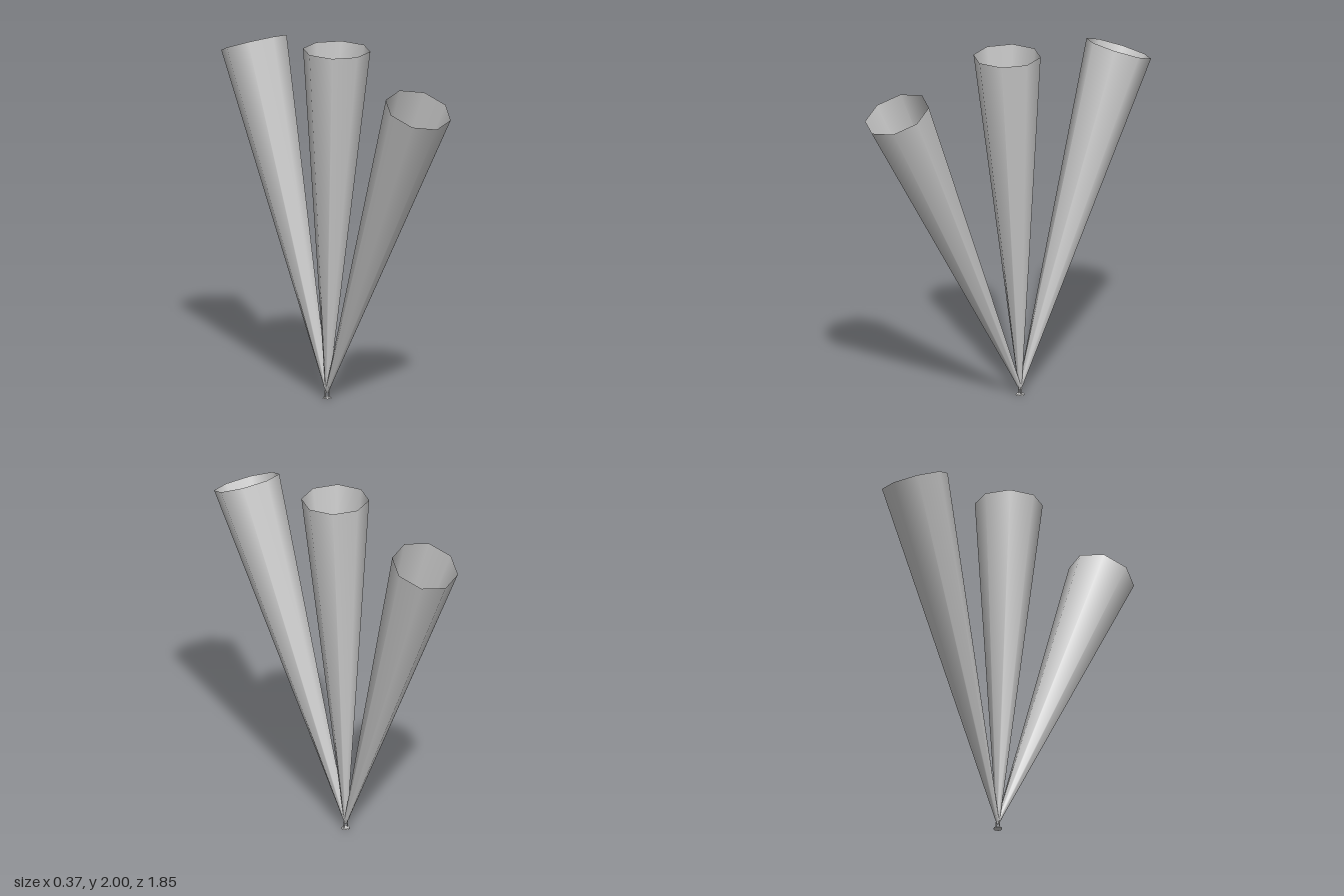
import * as THREE from 'three';

const grey = new THREE.MeshStandardMaterial({ color: 0xcccccc, side: THREE.DoubleSide });

function add(parent, name, geometry, x = 0, y = 0, z = 0) {
  const mesh = new THREE.Mesh(geometry, grey);
  mesh.name = name;
  mesh.position.set(x, y, z);
  parent.add(mesh);
  return mesh;
}

// Open eight-sided light cone whose wide end leans slightly forward
function beamGeometry(start, end) {
  const g = new THREE.CylinderGeometry(0.187, 0.011, end - start, 8, 1, true);
  g.translate(0, (start + end) / 2, 0);
  g.applyMatrix4(new THREE.Matrix4().set(
    1, 0, 0, 0,
    0, 1, 0, 0,
    0, 0.025, 1, 0,
    0, 0, 0, 1));
  return g;
}

export function createModel() {
  const model = new THREE.Group();
  model.name = 'spotlightFan';

  // Small stand: foot plate and a forked bracket
  const stand = new THREE.Group();
  stand.name = 'stand';
  stand.position.z = -0.077;
  model.add(stand);
  add(stand, 'footPlate', new THREE.CylinderGeometry(0.022, 0.025, 0.006, 12), 0, 0.003, 0);
  for (const side of [-1, 1]) {
    add(stand, 'bracketArm', new THREE.BoxGeometry(0.003, 0.04, 0.008), side * 0.013, 0.025, 0);
  }
  const pin = add(stand, 'pivotPin', new THREE.CylinderGeometry(0.004, 0.004, 0.03, 8), 0, 0.04, 0);
  pin.rotation.z = Math.PI / 2;

  // Lamp profile: rounded back flaring to an open rim
  const lampProfile = [
    [0, -0.012], [0.006, -0.01], [0.009, 0], [0.01, 0.02], [0.013, 0.026], [0.013, 0.036],
  ].map(([r, y]) => new THREE.Vector2(r, y));

  // Three lamps and beams fanned about the pivot
  const beam = beamGeometry(0.02, 1.96);
  const lamp = new THREE.LatheGeometry(lampProfile, 10);
  const fan = { front: 23.8, middle: 1.15, back: -21.4 };
  for (const [place, degrees] of Object.entries(fan)) {
    const light = new THREE.Group();
    light.name = place + 'Light';
    light.position.set(0, 0.04, -0.077);
    light.rotation.x = THREE.MathUtils.degToRad(degrees);
    model.add(light);
    add(light, 'lampHousing', lamp);
    add(light, 'lightBeam', beam);
  }
  return model;
}
